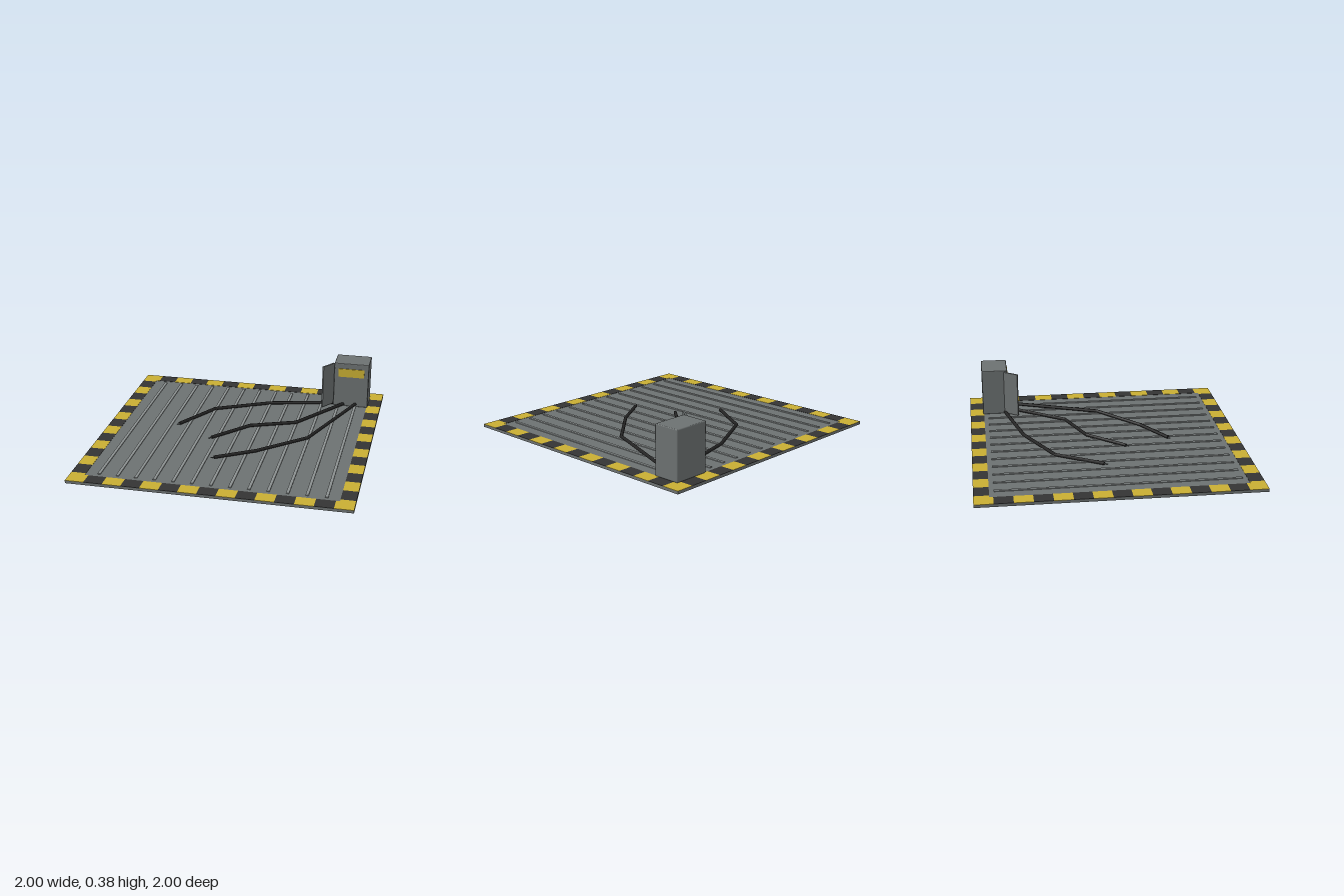
import * as THREE from 'three';
import { RoundedBoxGeometry } from 'three/addons/geometries/RoundedBoxGeometry.js';

const mat = (name, color) => Object.assign(new THREE.MeshStandardMaterial({ color }), { name });

export function createModel() {
  const model = new THREE.Group();
  model.name = 'floorPanel';
  const steel = mat('steelGrey', 0x6c7171);
  const ribGrey = mat('ribGrey', 0x8a8f8f);
  const yellow = mat('hazardYellow', 0xc8ae33);
  const black = mat('hazardBlack', 0x343434);
  const rubber = mat('cableBlack', 0x242424);

  const add = (name, geometry, material, x, y, z, parent = model) => {
    const mesh = new THREE.Mesh(geometry, material);
    mesh.name = name;
    mesh.position.set(x, y, z);
    parent.add(mesh);
    return mesh;
  };

  // Base plate
  const top = 0.02;
  add('basePlate', new THREE.BoxGeometry(2, top, 2), steel, 0, top / 2, 0);

  // Hazard border: alternating tiles along all four edges
  const count = 15, tile = 2 / count, band = 0.107, thin = 0.002;
  const border = new THREE.Group();
  border.name = 'hazardBorder';
  model.add(border);
  for (let i = 0; i < count; i++) {
    const p = -1 + tile * (i + 0.5);
    const m = i % 2 ? black : yellow;
    for (const s of [-1, 1]) {
      const edge = s * (1 - band / 2);
      add('borderTile', new THREE.BoxGeometry(tile, thin, band), m, p, top + thin / 2, edge, border);
      if (i > 0 && i < count - 1) {
        add('borderTile', new THREE.BoxGeometry(band, thin, tile), m, edge, top + thin / 2, p, border);
      }
    }
  }
  // Fill the slivers between the corner tiles and the side bands
  for (const sx of [-1, 1]) for (const sz of [-1, 1]) {
    const len = tile - band;
    add('cornerFill', new THREE.BoxGeometry(band, thin, len), yellow,
      sx * (1 - band / 2), top + thin / 2, sz * (1 - band - len / 2), border);
  }

  // Raised ribs
  for (let i = -6; i <= 6; i++) {
    add('rib', new THREE.BoxGeometry(0.021, 0.006, 1.72), ribGrey, i * tile, top + 0.003, 0);
  }

  // Control cabinet, label and open door
  add('cabinet', new RoundedBoxGeometry(0.273, 0.36, 0.2, 1, 0.007), steel, 0.7635, 0.2, -0.8);
  add('cabinetLabel', new THREE.BoxGeometry(0.203, 0.067, 0.007), yellow, 0.763, 0.303, -0.698);
  const hinge = new THREE.Group();
  hinge.name = 'doorHinge';
  hinge.position.set(0.622, 0.2, -0.725);
  hinge.rotation.y = Math.atan2(-0.072, 0.1);
  model.add(hinge);
  add('cabinetDoor', new THREE.BoxGeometry(0.013, 0.34, 0.125), steel, 0, 0, 0.0625, hinge);

  // Loose cables: straight lengths with rounded joints and a bare wire tip
  const up = new THREE.Vector3(0, 1, 0);
  const rod = (name, a, b, r, material, parent) => {
    const d = b.clone().sub(a);
    const c = a.clone().add(b).multiplyScalar(0.5);
    const mesh = add(name, new THREE.CylinderGeometry(r, r, d.length(), 8), material, c.x, c.y, c.z, parent);
    mesh.quaternion.setFromUnitVectors(up, d.normalize());
  };
  const cables = [
    [0.033, [[0.65, -0.73], [0.135, -0.605], [-0.268, -0.4], [-0.468, -0.065]]],
    [0.037, [[0.71, -0.71], [0.4, -0.268], [0.067, -0.135], [-0.168, 0.133]]],
    [0.042, [[0.805, -0.71], [0.533, 0], [0.2, 0.3], [-0.07, 0.467]]],
  ];
  for (const [y, path] of cables) {
    const cable = new THREE.Group();
    cable.name = 'cable';
    model.add(cable);
    const pts = path.map(([x, z]) => new THREE.Vector3(x, y, z));
    for (let i = 0; i < 3; i++) {
      rod('cableLength', pts[i], pts[i + 1], 0.0125, rubber, cable);
      if (i) add('cableJoint', new THREE.SphereGeometry(0.0125, 8, 6), rubber, pts[i].x, y, pts[i].z, cable);
    }
    const dir = pts[3].clone().sub(pts[2]).normalize();
    rod('wireTip', pts[3], pts[3].clone().addScaledVector(dir, 0.025), 0.004, steel, cable);
  }
  return model;
}
